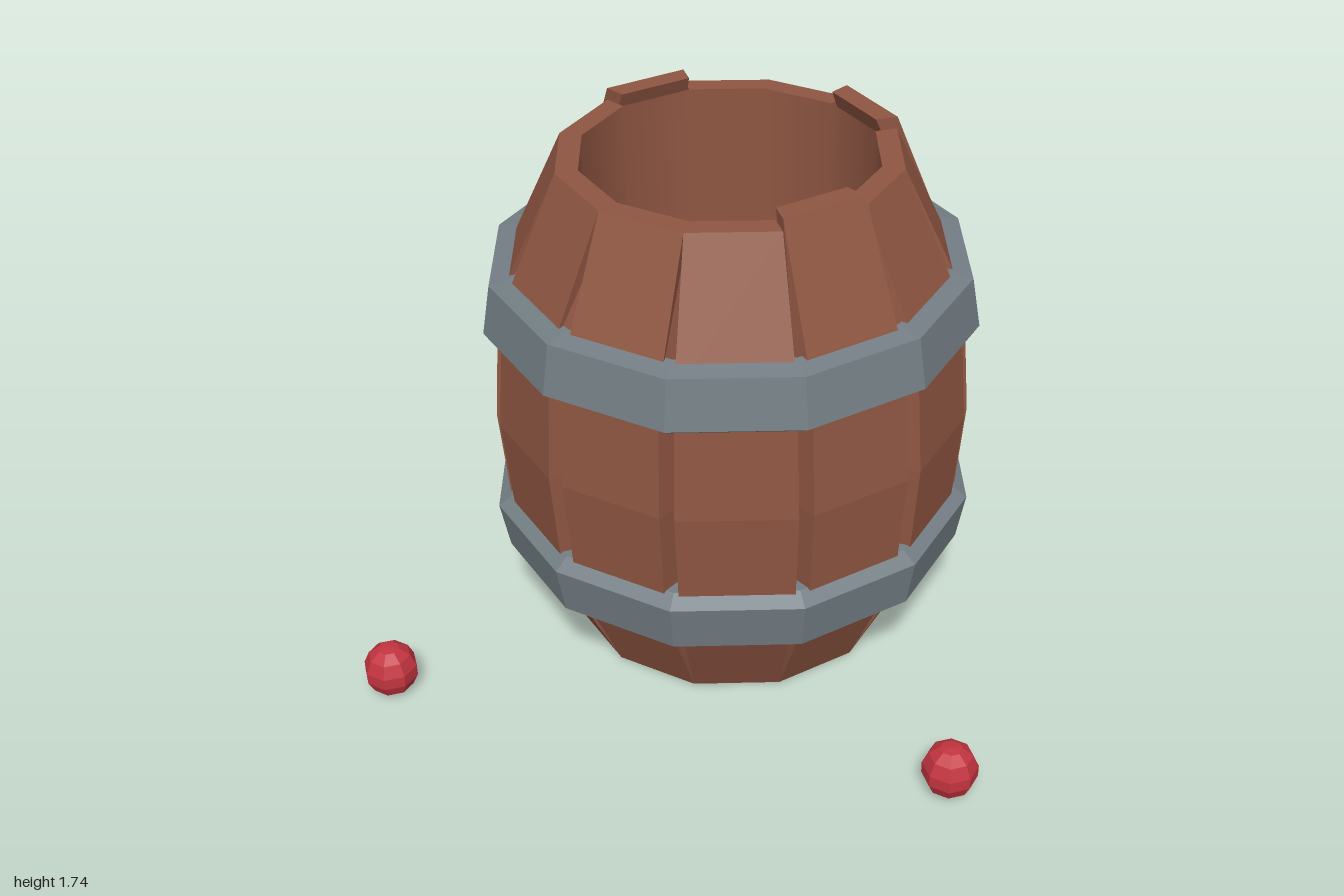
import * as THREE from 'three';

const SIDES = 12;
const STEP = (Math.PI * 2) / SIDES;
const TAN = Math.tan(STEP / 2);
const COS = Math.cos(STEP / 2);
const RIM = 1.7;

const makeMaterial = (name, color, extra = {}) => {
  const m = new THREE.MeshStandardMaterial({ color, ...extra });
  m.name = name;
  return m;
};

// Separate faces so every facet gets its own normal
const faceted = (geometry) => {
  const g = geometry.index ? geometry.toNonIndexed() : geometry;
  g.computeVertexNormals();
  return g;
};

// Twelve-sided lathe whose flats face the axes; profile is [apothem, y]
const ring = (profile) => new THREE.LatheGeometry(
  profile.map(([a, y]) => new THREE.Vector2(a / COS, y)), SIDES, STEP / 2);

// Curved plank, narrower outside than inside so that V grooves form between planks
function staveGeometry(top, extra) {
  const levels = [ // y, outer distance, half width outside
    [0, 0.53, 0.142],
    [0.43, 0.731, 0.164 + extra],
    [0.85, 0.763, 0.172 + extra],
    [1.27, 0.731, 0.164 + extra],
    [top, 0.53, 0.142],
  ];
  const positions = [];
  for (const [y, a, w] of levels) {
    const inner = a - 0.07;
    positions.push(-w, y, a, w, y, a, inner * TAN, y, inner, -inner * TAN, y, inner);
  }
  const index = [];
  for (let i = 0; i < levels.length - 1; i++) {
    for (let j = 0; j < 4; j++) {
      const a = i * 4 + j, b = i * 4 + ((j + 1) % 4);
      index.push(a, b, b + 4, a, b + 4, a + 4);
    }
  }
  const t = (levels.length - 1) * 4;
  index.push(0, 2, 1, 0, 3, 2, t, t + 1, t + 2, t, t + 2, t + 3);
  const g = new THREE.BufferGeometry();
  g.setAttribute('position', new THREE.Float32BufferAttribute(positions, 3));
  g.setIndex(index);
  return faceted(g);
}

// Low-poly fruit with a small dimple at the top
function appleGeometry() {
  const profile = [
    [0, -0.09], [0.035, -0.085], [0.069, -0.06], [0.088, -0.018],
    [0.088, 0.022], [0.069, 0.062], [0.035, 0.085], [0, 0.078],
  ].map(([r, y]) => new THREE.Vector2(r, y));
  return faceted(new THREE.LatheGeometry(profile, 8, Math.PI / 8));
}

export function createModel() {
  const wood = makeMaterial('wood', 0x8f5642);
  const liningWood = makeMaterial('lining wood', 0x8f5642, { side: THREE.DoubleSide });
  const iron = makeMaterial('iron', 0x737e84);
  const red = makeMaterial('apple red', 0xc2343f);
  const green = makeMaterial('apple green', 0x6fa83a);
  const stemBrown = makeMaterial('stem brown', 0x3a2418);

  const model = new THREE.Group();
  model.name = 'appleBarrel';
  const add = (parent, name, geometry, material, x = 0, y = 0, z = 0) => {
    const mesh = new THREE.Mesh(geometry, material);
    mesh.name = name;
    mesh.position.set(x, y, z);
    parent.add(mesh);
    return mesh;
  };

  const barrel = new THREE.Group();
  barrel.name = 'barrel';
  barrel.position.set(-0.18, 0, -0.17);
  model.add(barrel);

  // Staves: three stand a little taller, one is a little wider
  const tall = [2, 5, 8];
  for (let i = 0; i < SIDES; i++) {
    const top = tall.includes(i) ? 1.74 : RIM;
    const stave = add(barrel, 'stave', staveGeometry(top, i === 1 ? 0.015 : 0), wood);
    stave.rotation.y = i * STEP;
  }

  // Inside wall and floor
  add(barrel, 'lining', ring([[0.46, 0], [0.445, 0.12], [0.445, 0.16], [0.46, RIM]]), liningWood);
  const floor = new THREE.CylinderGeometry(0.445 / COS, 0.445 / COS, 0.05, SIDES, 1, false, STEP / 2);
  add(barrel, 'floor', faceted(floor), wood, 0, 0.125, 0);

  // Iron hoops, mirrored about mid height
  const hoop = [[0.67, 0.336], [0.75, 0.352], [0.778, 0.517], [0.73, 0.552], [0.67, 0.552], [0.67, 0.336]];
  const upper = hoop.map(([a, y]) => [a, 1.7 - y]).reverse();
  add(barrel, 'lowerHoop', faceted(ring(hoop)), iron);
  add(barrel, 'upperHoop', faceted(ring(upper)), iron);

  // Apples in the barrel and on the ground
  const apple = appleGeometry();
  const stem = faceted(new THREE.CylinderGeometry(0.012, 0.008, 0.03, 5));
  const inside = [
    [-0.225, 0.24, -0.325, red],
    [-0.12, 0.24, -0.345, red],
    [-0.08, 0.28, -0.245, green],
  ];
  for (const [x, y, z, material] of inside) {
    add(model, 'barrelApple', apple, material, x, y, z);
    add(model, 'appleStem', stem, stemBrown, x, y + 0.085, z);
  }
  for (const [x, z] of [[-0.908, 0.85], [0.905, 0.41]]) {
    // Lying with the stem side down
    add(model, 'groundApple', apple, red, x, 0.09, z).rotation.x = Math.PI;
  }
  return model;
}
